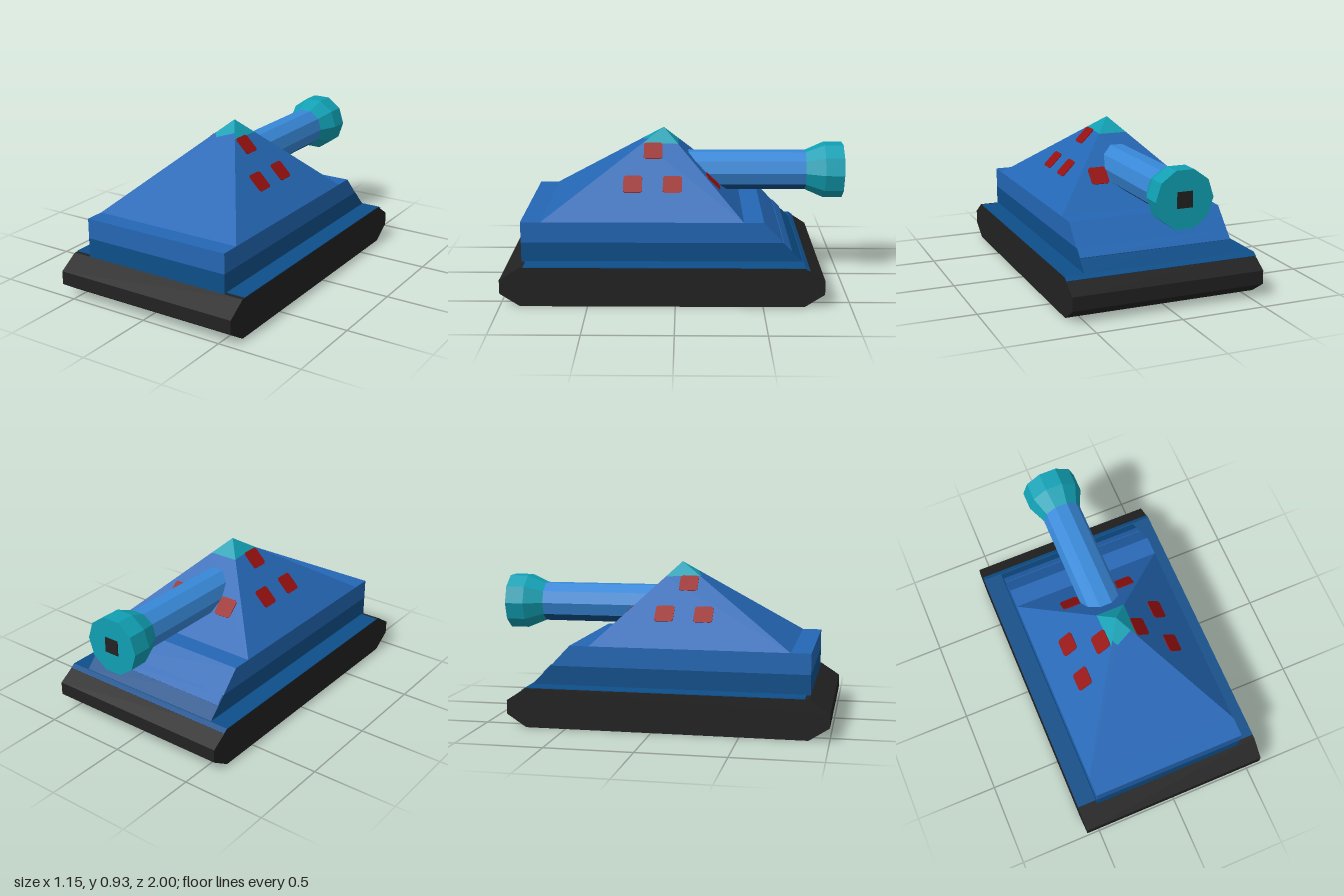
import * as THREE from 'three';

const mat = (name, color) => {
  const m = new THREE.MeshStandardMaterial({ color });
  m.name = name;
  return m;
};

export function createModel() {
  const black = mat('black', 0x222222);
  const navy = mat('dark blue', 0x0e4f8a);
  const blue = mat('blue', 0x2467b5);
  const lightBlue = mat('light blue', 0x3888d8);
  const teal = mat('teal', 0x11a0b4);
  const red = mat('red', 0x961010);

  const model = new THREE.Group();
  model.name = 'tank';
  const add = (name, geometry, material) => {
    const mesh = new THREE.Mesh(geometry, material);
    mesh.name = name;
    model.add(mesh);
    return mesh;
  };

  // Side profile of [z, y] points, extruded across x
  const prism = (profile, halfWidth) => {
    const shape = new THREE.Shape(profile.map(([z, y]) => new THREE.Vector2(z, y)));
    return new THREE.ExtrudeGeometry(shape, { depth: 2 * halfWidth, bevelEnabled: false })
      .translate(0, 0, -halfWidth).rotateY(-Math.PI / 2);
  };

  // Flat polygons (counter-clockwise from outside) joined into one geometry
  const polygons = (list) => {
    const pos = [];
    for (const p of list) {
      for (let i = 1; i < p.length - 1; i++) {
        for (const v of [p[0], p[i], p[i + 1]]) pos.push(v.x, v.y, v.z);
      }
    }
    const g = new THREE.BufferGeometry();
    g.setAttribute('position', new THREE.Float32BufferAttribute(pos, 3));
    g.computeVertexNormals();
    return g;
  };

  // Track base and the painted deck on it
  add('trackBase', prism([[1, 0.155], [0.885, 0.23], [-0.735, 0.23], [-0.85, 0.155],
    [-0.85, 0.075], [-0.735, 0], [0.885, 0], [1, 0.075]], 0.577), black);
  add('deck', prism([[0.862, 0.23], [0.862, 0.234], [-0.736, 0.234], [-0.763, 0.217],
    [-0.76, 0.2137], [-0.735, 0.23]], 0.577), navy);

  // Hull in two colour bands, with the upper colour reaching lower on the rear slope
  add('lowerHull', prism([[0.885, 0.23], [0.885, 0.345], [-0.618, 0.345], [-0.735, 0.23]], 0.463), navy);
  add('upperHull', prism([[0.885, 0.345], [0.885, 0.465], [-0.505, 0.465], [-0.618, 0.345]], 0.463), blue);
  add('rearSlopeBand', prism([[-0.618, 0.345], [-0.621, 0.348], [-0.667, 0.303], [-0.664, 0.3]], 0.46), blue);

  // Pyramid turret: every face is split into a tip and a lower part
  const apex = new THREE.Vector3(0, 0.925, 0.075);
  const base = [[-0.463, 0.77], [0.463, 0.77], [0.463, -0.39], [-0.463, -0.39]]
    .map(([x, z]) => new THREE.Vector3(x, 0.465, z));
  const cuts = [[0.14, 0.12], [0.174, 0.185], [0.19, 0.19], [0.185, 0.174]];
  const tips = [], lower = [];
  cuts.forEach(([s, t], i) => {
    const p = base[i], q = base[(i + 1) % 4];
    const a = apex.clone().lerp(p, s), b = apex.clone().lerp(q, t);
    // The front edge of the tip colour dips near its right end
    const kink = i === 0 ? [new THREE.Vector3(-0.045, 0.84, 0.2034)] : [];
    tips.push([apex, a, ...kink, b]);
    if (kink.length) {
      lower.push([kink[0], a, p], [kink[0], p, q], [kink[0], q, b]);
    } else {
      lower.push([a, p, q, b]);
    }
  });
  add('turret', polygons(lower), blue);
  add('turretTip', polygons(tips), teal);

  // Red plates with clipped corners on the sides and rear of the turret
  const w = 0.055, h = 0.057, c = 0.012;
  const plateShape = new THREE.Shape([[w - c, -h], [w, c - h], [w, h - c], [w - c, h],
    [c - w, h], [-w, h - c], [-w, c - h], [c - w, -h]].map(([x, y]) => new THREE.Vector2(x, y)));
  const plateGeometry = new THREE.ExtrudeGeometry(plateShape, { depth: 0.006, bevelEnabled: false })
    .translate(0, 0, -0.002);
  const plate = (name, x, y, z, yaw) => {
    const mesh = add(name, plateGeometry, red);
    mesh.position.set(x, y, z);
    mesh.rotation.set(-Math.PI / 4, yaw, 0, 'YXZ');
  };
  for (const side of [1, -1]) {
    for (const [z, y] of [[0.135, 0.805], [0.25, 0.642], [0.02, 0.642]]) {
      plate('sidePlate', side * (0.925 - y) * 1.0065, y, z, side * Math.PI / 2);
    }
    plate('rearPlate', side * 0.172, 0.635, 0.075 - 0.29 * 1.011, Math.PI);
  }

  // Ten-sided rings of [z, radius] joined over a range of sides
  const axisY = 0.665;
  const ringPoint = ([z, r], k) => {
    const a = k * Math.PI / 5;
    return new THREE.Vector3(r * Math.cos(a), axisY + r * Math.sin(a), z);
  };
  const tube = (rings, from, to) => {
    const faces = [];
    for (let j = 0; j < rings.length - 1; j++) {
      for (let k = from; k < to; k++) {
        faces.push([ringPoint(rings[j], k), ringPoint(rings[j + 1], k),
          ringPoint(rings[j + 1], k + 1), ringPoint(rings[j], k + 1)]);
      }
    }
    return polygons(faces);
  };

  // Barrel with a dark underside, flared muzzle and square bore
  const barrel = [[0, 0.12], [-0.775, 0.12]];
  add('barrel', tube(barrel, -1, 6), lightBlue);
  add('barrelUnderside', tube(barrel, 6, 9), navy);
  add('muzzle', tube([[-0.775, 0.12], [-0.885, 0.168], [-0.997, 0.168], [-0.997, 0]], 0, 10), teal);
  add('bore', new THREE.BoxGeometry(0.09, 0.09, 0.006).translate(0, axisY, -0.997), black);

  return model;
}
